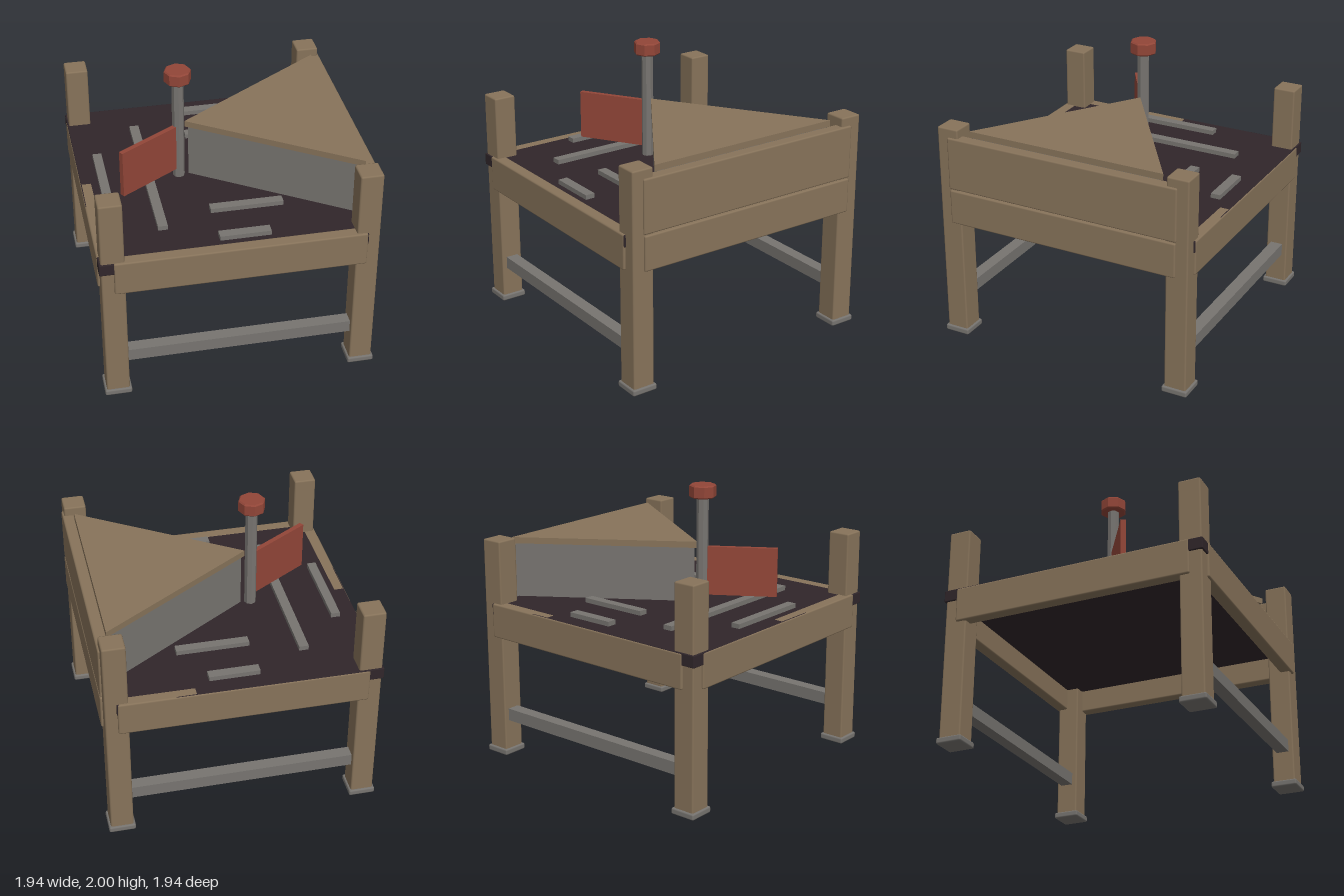
import * as THREE from 'three';
import { RoundedBoxGeometry } from 'three/addons/geometries/RoundedBoxGeometry.js';

export function createModel() {
  const root = new THREE.Group();
  const mat = (name, color) => {
    const m = new THREE.MeshStandardMaterial({ color });
    m.name = name;
    return m;
  };
  const wood = mat('tan wood', 0x87735a);
  const dark = mat('dark board', 0x30262a);
  const metal = mat('grey metal', 0x777470);
  const red = mat('rust red', 0x924638);

  const add = (name, geo, material, x = 0, y = 0, z = 0) => {
    const mesh = new THREE.Mesh(geo, material);
    mesh.name = name;
    mesh.position.set(x, y, z);
    root.add(mesh);
    return mesh;
  };
  // Box from its min and max corners, with optional softened edges
  const box = (name, material, [x0, y0, z0], [x1, y1, z1], r = 0) => {
    const s = [x1 - x0, y1 - y0, z1 - z0];
    const geo = r ? new RoundedBoxGeometry(...s, 1, r) : new THREE.BoxGeometry(...s);
    return add(name, geo, material, (x0 + x1) / 2, (y0 + y1) / 2, (z0 + z1) / 2);
  };

  // Corner posts and foot pads
  for (const sx of [-1, 1]) for (const sz of [-1, 1]) {
    const x = sx * 0.875, z = sz * 0.875;
    box('post', wood, [x - 0.081, 0.02, z - 0.081], [x + 0.081, 1.6, z + 0.081], 0.012);
    box('footPad', metal, [x - 0.095, 0, z - 0.095], [x + 0.095, 0.045, z + 0.095], 0.012);
  }

  // Stretchers under the front and back
  for (const z of [-0.875, 0.875])
    box('stretcher', metal, [-0.81, 0.26, z - 0.045], [0.81, 0.35, z + 0.045]);

  // Table board, reaching out past the posts at the -x corners
  box('tableBoard', dark, [-0.968, 1.055, -0.967], [0.875, 1.14, 0.967], 0.006);

  // Rails around the board; two lie very slightly out of level
  box('frontRail', wood, [-0.87, 0.89, 0.882], [0.87, 1.143, 0.972], 0.012);
  box('backRail', wood, [-0.87, 0.89, -0.972], [0.87, 1.139, -0.885], 0.012).rotation.z = 0.003;
  box('rightRail', wood, [-0.972, 0.89, -0.87], [-0.882, 1.14, 0.87], 0.012).rotation.x = -0.003;
  box('leftRail', wood, [0.882, 0.89, -0.87], [0.972, 1.143, 0.87], 0.012);
  box('leftBackboard', wood, [0.882, 1.15, -0.875], [0.97, 1.535, 0.875], 0.012);

  // Wedge-shaped block with a wooden lid
  const wedge = (tip, back, half, depth) => {
    const s = new THREE.Shape();
    s.moveTo(tip, 0);
    s.lineTo(back, -half);
    s.lineTo(back, half);
    s.closePath();
    return new THREE.ExtrudeGeometry(s, { depth, bevelEnabled: false }).rotateX(-Math.PI / 2);
  };
  add('wedgeWalls', wedge(-0.19, 0.885, 0.715, 0.4), metal, 0, 1.135, 0);
  add('wedgeLid', wedge(-0.215, 0.89, 0.74, 0.045), wood, 0, 1.535, 0);

  // Flat strips on the board: x0, x1, z0, z1
  const strips = [
    [-0.84, -0.775, -0.325, 0.325], [-0.52, -0.452, -0.65, 0.65],
    [-0.13, 0.385, -0.52, -0.453], [-0.13, 0.385, 0.453, 0.52],
    [-0.13, 0.225, -0.845, -0.775], [-0.13, 0.225, 0.775, 0.845],
  ];
  for (const [x0, x1, z0, z1] of strips)
    box('strip', metal, [x0, 1.13, z0], [x1, 1.173, z1]);

  // Pole with an eight-sided knob
  const px = -0.26;
  const prism = (profile) => {
    const g = new THREE.LatheGeometry(profile.map((p) => new THREE.Vector2(...p)), 8).toNonIndexed();
    g.computeVertexNormals();
    return g;
  };
  add('pole', prism([[0, 1.13], [0.043, 1.13], [0.043, 1.92], [0, 1.92]]), metal, px);
  add('knob', prism([[0, 1.908], [0.086, 1.908], [0.095, 1.917], [0.095, 1.991], [0.086, 2], [0, 2]]), red, px);

  // Paddle swung out from the pole
  const paddle = new THREE.Group();
  paddle.name = 'paddle';
  const blade = new THREE.Mesh(new THREE.BoxGeometry(0.51, 0.35, 0.036), red);
  blade.name = 'paddleBlade';
  blade.position.x = -0.275;
  paddle.add(blade);
  paddle.position.set(px, 1.383, 0);
  paddle.rotation.y = Math.atan2(0.285, 0.45);
  root.add(paddle);

  return root;
}
